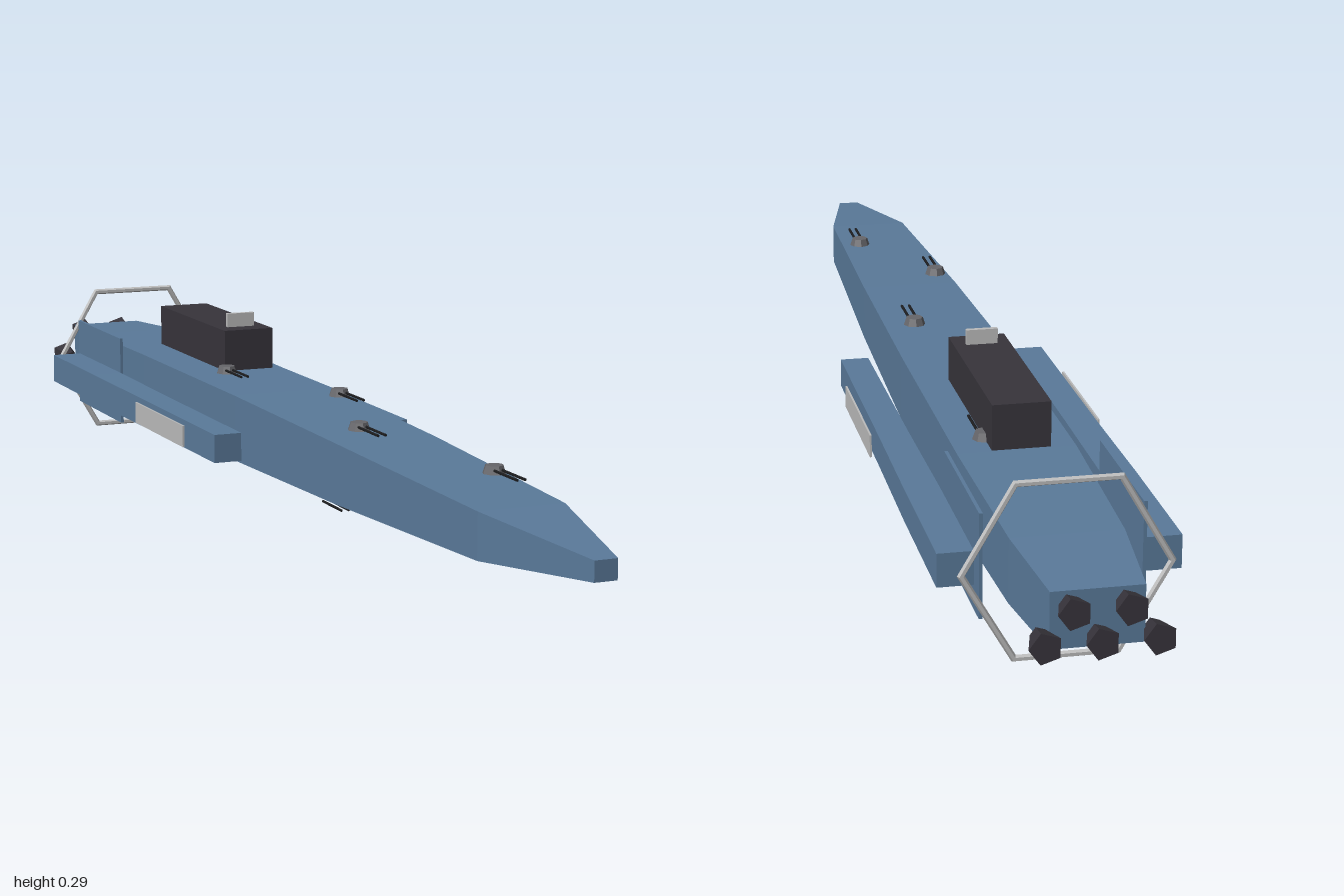
import * as THREE from 'three';

const mat = (name, color) => {
  const m = new THREE.MeshStandardMaterial({ color, flatShading: true });
  m.name = name;
  return m;
};

// Loft through rectangular sections [z, halfWidth, halfHeight], listed from front to back
function loft(sections) {
  const pos = [];
  const corners = ([z, w, h]) => [[w, h, z], [-w, h, z], [-w, -h, z], [w, -h, z]];
  const quad = (a, b, c, d) => pos.push(...a, ...b, ...c, ...a, ...c, ...d);
  const rings = sections.map(corners);
  quad(...rings[0]);
  for (let i = 0; i < rings.length - 1; i++) {
    for (let j = 0; j < 4; j++) {
      const k = (j + 1) % 4;
      quad(rings[i][j], rings[i + 1][j], rings[i + 1][k], rings[i][k]);
    }
  }
  quad(...rings[rings.length - 1].slice().reverse());
  const g = new THREE.BufferGeometry();
  g.setAttribute('position', new THREE.Float32BufferAttribute(pos, 3));
  g.computeVertexNormals();
  return g;
}

export function createModel() {
  const model = new THREE.Group();
  model.name = 'spaceship';
  const blue = mat('hull blue', 0x5a7a9a);
  const dark = mat('dark grey', 0x37343b);
  const light = mat('light grey', 0xbcbcbc);
  const grey = mat('turret grey', 0x66666a);
  const black = mat('barrel black', 0x1c1c1e);

  const add = (name, geo, material, x, y, z, parent = model) => {
    const m = new THREE.Mesh(geo, material);
    m.name = name;
    m.position.set(x, y, z);
    parent.add(m);
    return m;
  };
  const box = (w, h, d) => new THREE.BoxGeometry(w, h, d);

  // Main hull
  add('hull', loft([
    [1, 0.017, 0.0145], [0.77, 0.066, 0.034], [0.34, 0.08, 0.046], [-0.06, 0.0875, 0.0535],
    [-0.5, 0.0875, 0.0535], [-0.8, 0.079, 0.047], [-0.965, 0.063, 0.04],
  ]), blue, 0, 0.13, 0);

  // Side pods, sensor panels and fins
  for (const s of [1, -1]) {
    const side = s > 0 ? 'left' : 'right';
    add(side + 'Pod', loft([
      [0.055, 0.0225, 0.0225], [-0.3, 0.0235, 0.0235], [-0.53, 0.0255, 0.0245], [-0.765, 0.0255, 0.0245],
    ]), blue, s * 0.144, 0.123, 0);
    add(side + 'Panel', box(0.003, 0.035, 0.228), light, s * 0.176, 0.123, -0.173);
    add(side + 'Fin', box(0.005, 0.152, 0.236), blue, s * 0.1125, 0.131, -0.663);
  }

  // Hexagonal ring near the stern
  add('ring', new THREE.TorusGeometry(0.1445, 0.0055, 6, 6), light, 0, 0.13, -0.805);

  // Dorsal block with its aerial plate
  add('dorsalBlock', box(0.086, 0.068, 0.312), dark, 0, 0.23, -0.372);
  add('aerialPlate', box(0.048, 0.023, 0.008), light, 0, 0.2755, -0.255);

  // Dorsal turrets with twin barrels
  const base = new THREE.CylinderGeometry(0.0135, 0.0175, 0.012, 8);
  const barrel = new THREE.CylinderGeometry(0.0022, 0.0022, 0.07, 6).rotateX(Math.PI / 2);
  const twinBarrels = (parent, x, y, z) => {
    for (const dx of [-0.006, 0.006]) add('barrel', barrel, black, x + dx, y, z, parent);
  };
  [0.605, 0.335, 0.065, -0.205, -0.475].forEach((z, i) => {
    const turret = new THREE.Group();
    turret.name = 'dorsalTurret';
    turret.position.set(i % 2 ? -0.044 : 0.043, i ? 0.201 : 0.181, z);
    add('turretBase', base, grey, 0, 0, 0, turret);
    twinBarrels(turret, 0, 0, 0.046);
    model.add(turret);
  });

  // Ventral guns
  [0.52, 0.25, -0.018, -0.286].forEach((z, i) => {
    const guns = new THREE.Group();
    guns.name = 'ventralGuns';
    twinBarrels(guns, i % 2 ? -0.044 : 0.043, i ? 0.062 : 0.081, z);
    model.add(guns);
  });

  // Engine nozzles: three below, two above
  const nozzle = new THREE.CylinderGeometry(0.011, 0.023, 0.045, 5)
    .rotateY(Math.PI / 2).rotateX(Math.PI / 2);
  for (const [x, y] of [[-0.075, 0.108], [0, 0.108], [0.075, 0.108], [-0.0375, 0.152], [0.0375, 0.152]]) {
    add('engineNozzle', nozzle, dark, x, y, -0.9775);
  }
  return model;
}
